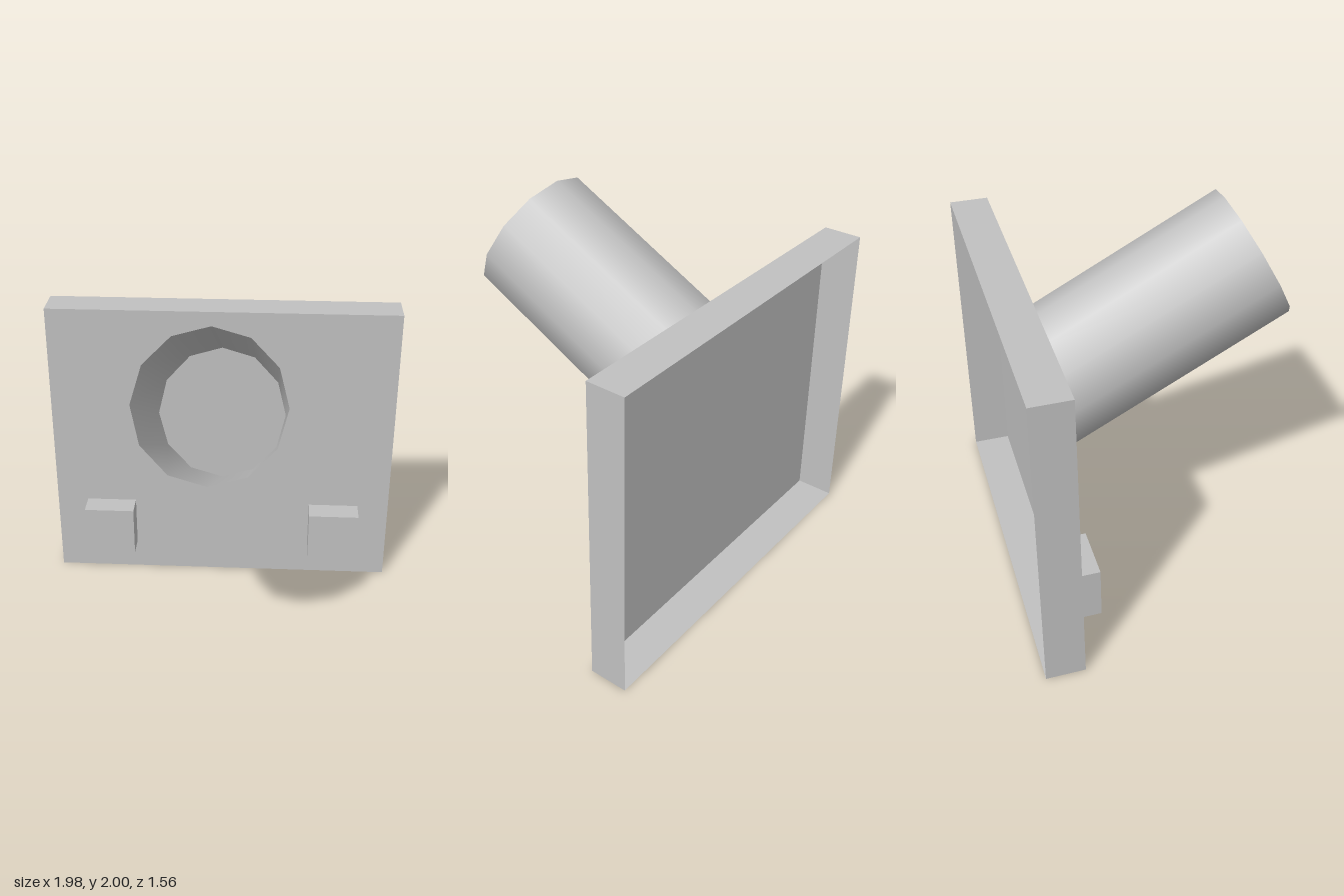
import * as THREE from 'three';

export function createModel() {
  const model = new THREE.Group();
  model.name = 'wallSpout';
  const grey = new THREE.MeshStandardMaterial({ color: 0xc0c0c0, side: THREE.DoubleSide });
  grey.name = 'lightGrey';

  const add = (name, geometry, x = 0, y = 0, z = 0) => {
    const mesh = new THREE.Mesh(geometry, grey);
    mesh.name = name;
    mesh.position.set(x, y, z);
    model.add(mesh);
  };
  const wallZ = -0.575;

  // Shallow tray standing upright, open at the back (last box side dropped)
  const tray = new THREE.BoxGeometry(1.98, 1.68, 0.205);
  tray.setIndex([...tray.index.array].slice(0, 30));
  tray.clearGroups();
  add('backPlate', tray, 0, 0.84, wallZ - 0.1025);

  // Two small blocks low on the plate
  for (const side of [-1, 1]) {
    add(side > 0 ? 'leftBlock' : 'rightBlock', new THREE.BoxGeometry(0.29, 0.29, 0.135),
      side * 0.665, 0.325, wallZ + 0.0675);
  }

  // Slanted open tube: the far ring slides along the axis until it meets the plate
  const tilt = Math.atan2(1.185, 0.615);
  const axis = new THREE.Vector3(0, Math.cos(tilt), Math.sin(tilt));
  const tube = new THREE.CylinderGeometry(0.365, 0.365, 1, 12, 1, true);
  tube.translate(0, -0.5, 0).rotateX(tilt).translate(0, 1.675, 0.61);
  const pos = tube.attributes.position;
  const p = new THREE.Vector3();
  for (let i = 13; i < pos.count; i++) {
    p.fromBufferAttribute(pos, i);
    p.addScaledVector(axis, (wallZ - p.z) / axis.z);
    pos.setXYZ(i, p.x, p.y, p.z);
  }
  add('tube', tube);

  // Closed end inside the tube, just in front of the plate
  add('tubeEnd', new THREE.CircleGeometry(1, 12).scale(0.365, 0.41, 1), 0, 1.06, wallZ + 0.002);

  return model;
}
